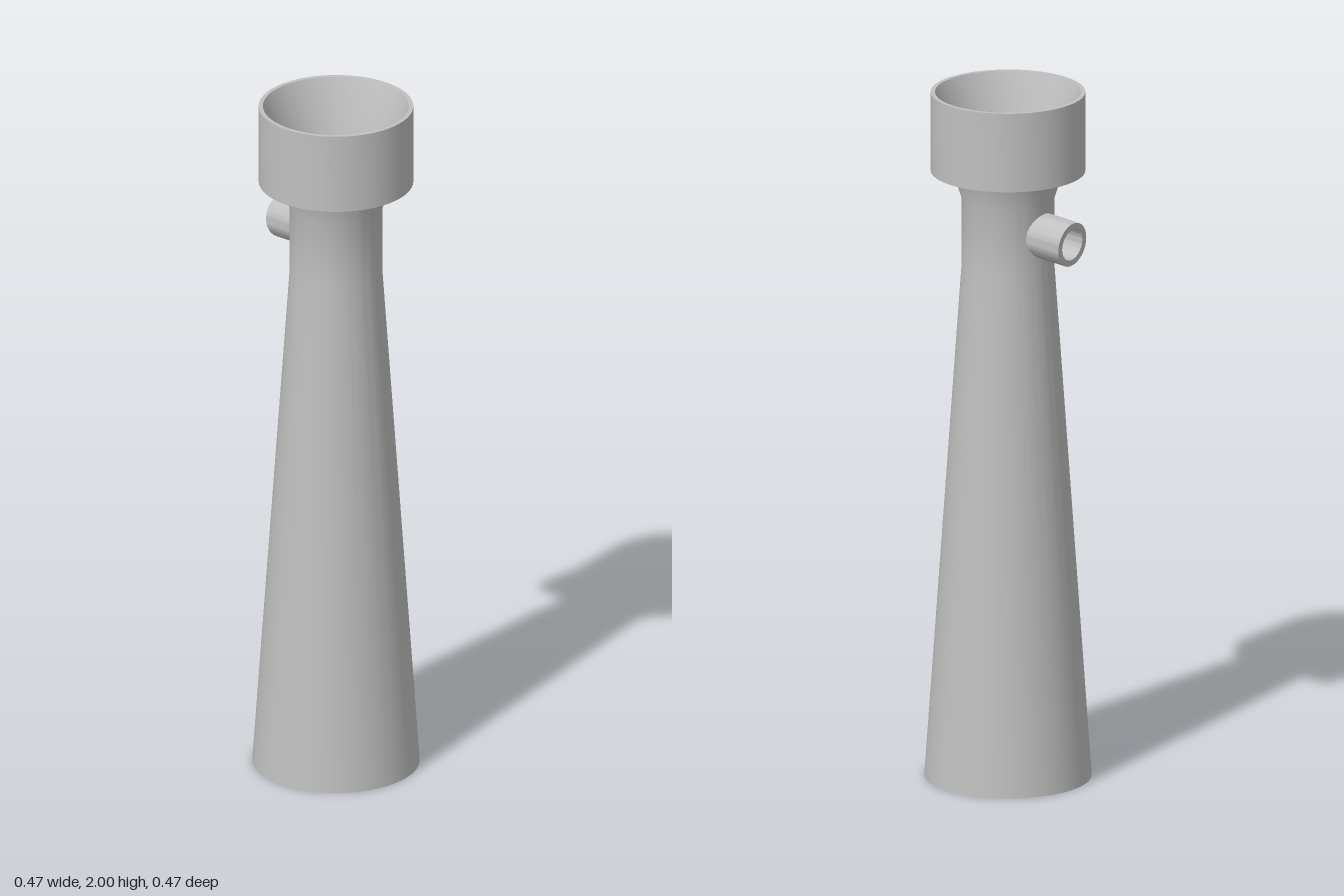
import * as THREE from 'three';
import { toCreasedNormals } from 'three/addons/utils/BufferGeometryUtils.js';

const metal = new THREE.MeshStandardMaterial({ color: 0xc0c0c0 });
metal.name = 'plain grey';

// Closed [radius, y] profile turned round y, with crisp rims
function turned(name, profile, segments) {
  const points = [...profile, profile[0]].map(([r, y]) => new THREE.Vector2(r, y));
  const geometry = toCreasedNormals(new THREE.LatheGeometry(points, segments), 0.5);
  const mesh = new THREE.Mesh(geometry, metal);
  mesh.name = name;
  return mesh;
}

export function createModel() {
  const model = new THREE.Group();
  model.name = 'venturiTube';

  // Hollow body: flared base, narrow throat, collar and inlet funnel
  model.add(turned('body', [
    [0.235, 0], [0.13, 1.5], [0.13, 1.69], [0.156, 1.77],
    [0.217, 1.77], [0.217, 2], [0.205, 2],
    [0.093, 1.69], [0.093, 1.5], [0.195, 0],
  ], 96));

  // Hollow side port, tilted slightly down
  const port = turned('sidePort', [
    [0.064, 0], [0.064, 0.122], [0.046, 0.122], [0.046, 0],
  ], 48);
  const tilt = THREE.MathUtils.degToRad(95);
  port.rotation.z = tilt;
  port.position.set(-0.2275 + 0.122 * Math.sin(tilt), 1.593 - 0.122 * Math.cos(tilt), 0);
  model.add(port);

  // Flow-straightening vanes across the outlet
  const vanes = new THREE.Group();
  vanes.name = 'outletVanes';
  for (let i = 0; i < 3; i++) {
    const vane = new THREE.Mesh(new THREE.BoxGeometry(0.396, 0.2, 0.016), metal);
    vane.name = 'vane';
    vane.position.y = 0.1;
    vane.rotation.y = (i * Math.PI) / 3;
    vanes.add(vane);
  }
  model.add(vanes);

  return model;
}
